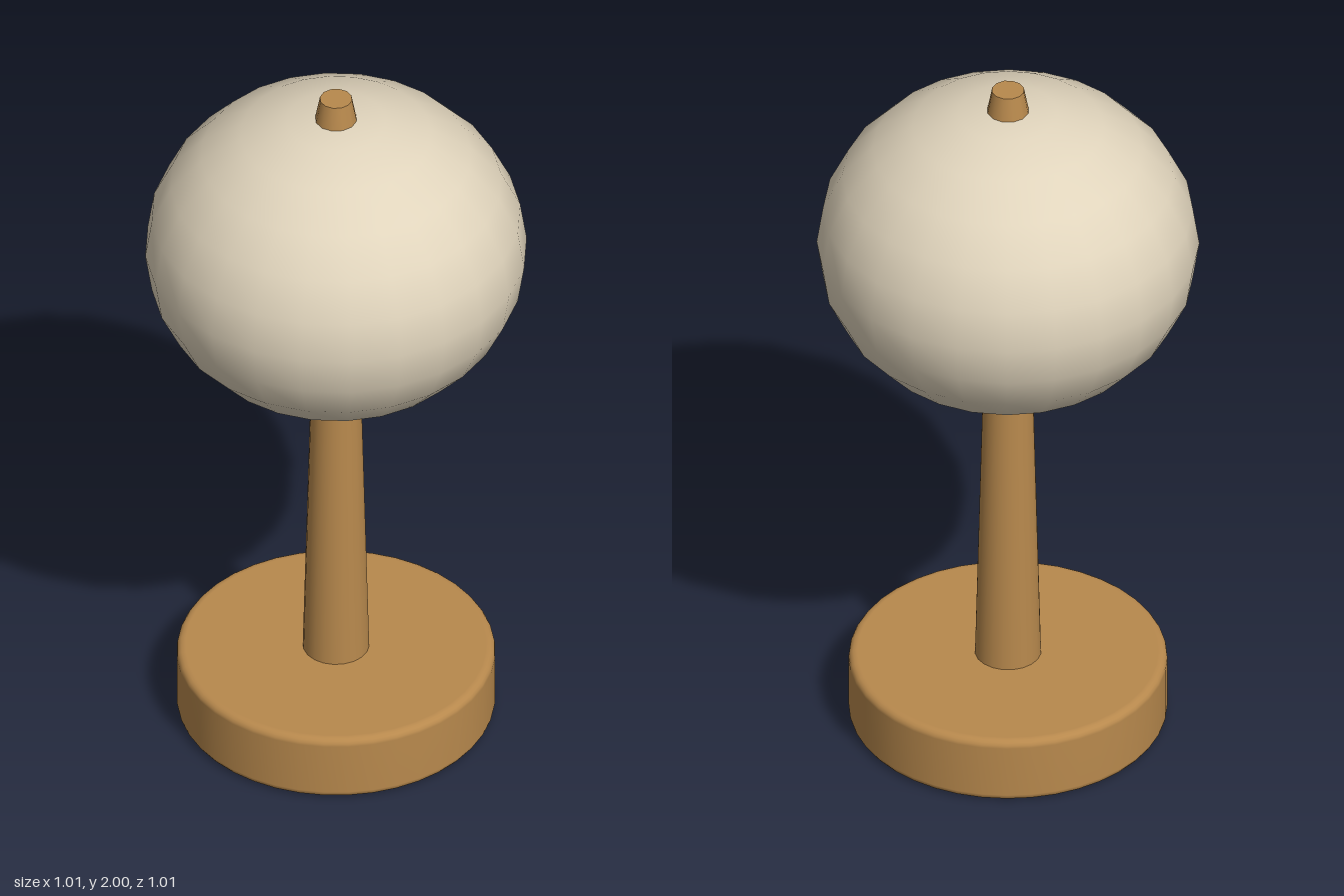
import * as THREE from 'three';

export function createModel() {
  const model = new THREE.Group();
  const wood = new THREE.MeshStandardMaterial({ color: 0xb8894d });
  wood.name = 'warm wood';
  const cream = new THREE.MeshStandardMaterial({ color: 0xe0d4bc });
  cream.name = 'cream shade';

  const add = (name, geometry, material, y) => {
    const mesh = new THREE.Mesh(geometry, material);
    mesh.name = name;
    mesh.position.y = y;
    model.add(mesh);
    return mesh;
  };

  // Round base: flat faces joined by small rounded rims
  const radius = 0.42, height = 0.19, bevel = 0.02;
  const profile = [new THREE.Vector2(0, 0), new THREE.Vector2(radius - bevel - 0.004, 0)];
  for (const [cy, start] of [[bevel, -Math.PI / 2], [height - bevel, 0]]) {
    for (let i = 0; i <= 4; i++) {
      const a = start + (i / 4) * (Math.PI / 2);
      profile.push(new THREE.Vector2(radius - bevel + bevel * Math.cos(a), cy + bevel * Math.sin(a)));
    }
  }
  profile.push(new THREE.Vector2(radius - bevel - 0.004, height), new THREE.Vector2(0, height));
  add('base', new THREE.LatheGeometry(profile, 40), wood, 0);

  // Tapered stem, ending just inside the globe
  add('stem', new THREE.CylinderGeometry(0.065, 0.088, 0.92, 20), wood, 0.64);

  // Slightly flattened globe shade
  add('shade', new THREE.SphereGeometry(0.504, 24, 12), cream, 1.508).scale.y = 0.857;

  // Tapered finial on top
  add('finial', new THREE.CylinderGeometry(0.043, 0.058, 0.08, 12), wood, 1.96);

  return model;
}
